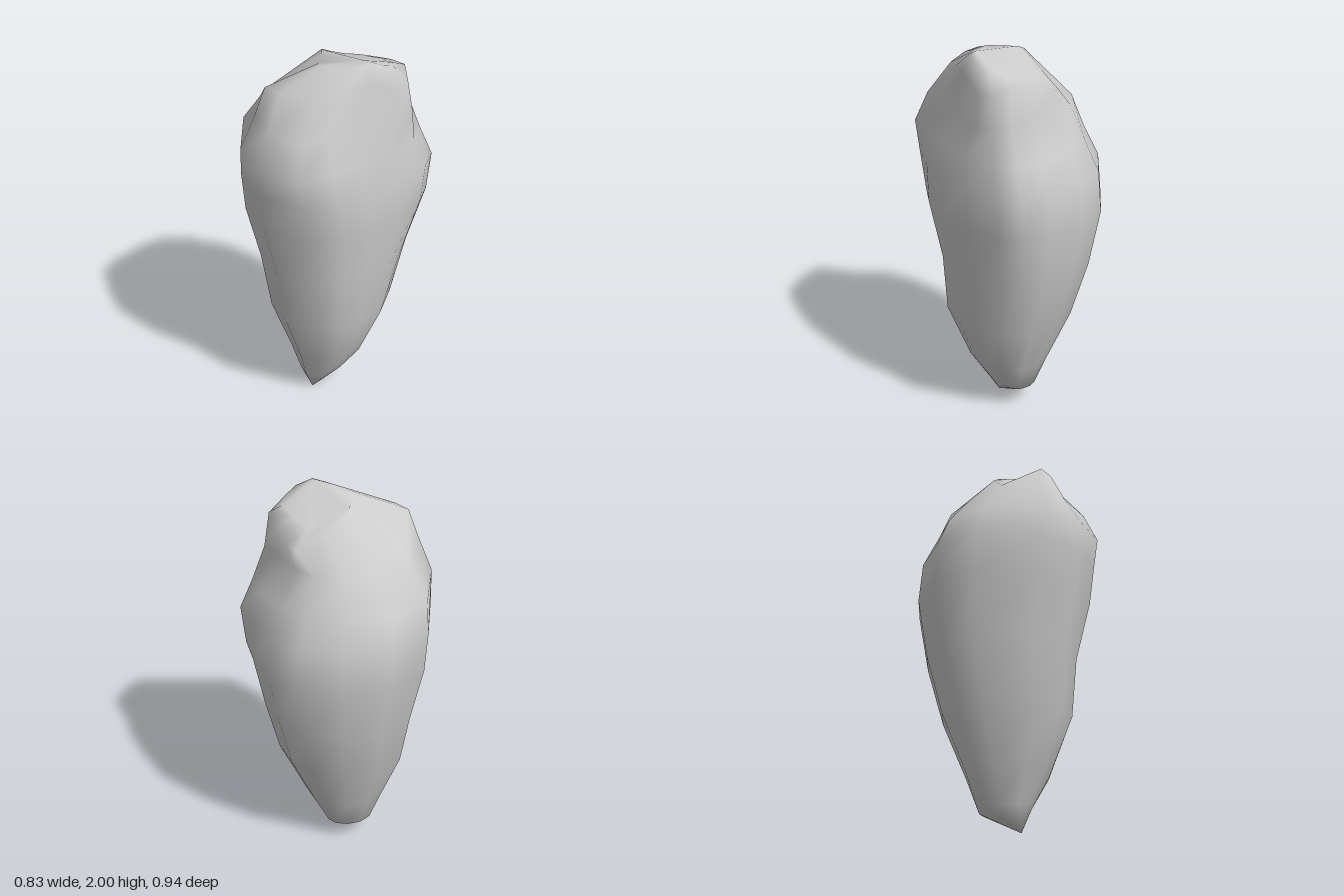
import * as THREE from 'three';

// Plan outline of the rock at its widest, [x, z], running from the front towards +x
const PLAN = [
  [0.07, 0.47], [0.30, 0.40], [0.37, 0.25], [0.41, 0.10], [0.415, -0.10], [0.405, -0.30], [0.345, -0.41],
  [0.20, -0.435], [0, -0.47], [-0.17, -0.42], [-0.33, -0.26], [-0.42, -0.04], [-0.39, 0.19], [-0.14, 0.41],
];

// Body levels: y, xMin, xMax, zMin, zMax, then the pull on the front left, back left and back right corners
const LEVELS = [
  [0.12, -0.10, 0.12, -0.12, 0.155, 0.90, 0.88, 1],
  [0.30, -0.17, 0.235, -0.20, 0.22, 0.90, 0.84, 1],
  [0.60, -0.29, 0.35, -0.33, 0.33, 0.91, 0.83, 1],
  [0.90, -0.36, 0.37, -0.41, 0.365, 0.93, 0.88, 1],
  [1.20, -0.415, 0.415, -0.465, 0.44, 0.95, 0.95, 1],
  [1.40, -0.42, 0.41, -0.46, 0.455, 0.99, 1, 0.96],
  [1.55, -0.37, 0.385, -0.41, 0.47, 1.03, 0.97, 0.92],
];
// Which pull each plan point takes: its column in LEVELS
const PULL = { 1: 5, 5: 6, 6: 6, 8: 7, 9: 7, 10: 7 };

// Uneven neck and crown rims and the edge of the sloping top, [x, y, z]
const NECK = [
  [0.06, 1.70, 0.39], [0.25, 1.70, 0.36], [0.28, 1.70, 0.23], [0.34, 1.71, 0.05], [0.365, 1.70, -0.13],
  [0.36, 1.70, -0.23], [0.29, 1.72, -0.28], [0.17, 1.73, -0.29], [0.03, 1.72, -0.28], [-0.10, 1.72, -0.26],
  [-0.20, 1.72, -0.17], [-0.22, 1.73, -0.03], [-0.24, 1.70, 0.18], [-0.07, 1.73, 0.36],
];
const CROWN = [
  [0.05, 1.87, 0.31], [0.20, 1.87, 0.24], [0.27, 1.90, 0.12], [0.33, 1.92, 0], [0.355, 1.85, -0.13],
  [0.34, 1.86, -0.21], [0.27, 1.90, -0.26], [0.15, 1.87, -0.295], [0.05, 1.84, -0.31], [0, 1.82, -0.29],
  [-0.02, 1.88, -0.15], [-0.03, 1.95, -0.02], [-0.19, 1.76, 0.18], [-0.04, 1.87, 0.32],
];
const TOP = [
  [0.11, 1.96, 0.11], [0.18, 1.965, 0.09], [0.24, 1.975, 0.05], [0.29, 1.99, 0], [0.31, 1.97, -0.08],
  [0.30, 1.94, -0.15], [0.25, 1.923, -0.20], [0.15, 1.905, -0.20], [0.08, 1.893, -0.20], [0.04, 1.887, -0.20],
  [0.02, 1.92, -0.10], [-0.01, 1.96, 0], [0.03, 1.96, 0.04], [0.08, 1.96, 0.10],
];

// Fit the plan outline into the box of one level
function bodyRing(level) {
  const [y, x0, x1, z0, z1] = level;
  return PLAN.map(([px, pz], i) => {
    const k = i in PULL ? level[PULL[i]] : 1;
    const u = (px * k + 0.42) / 0.835;
    const v = (pz * k + 0.47) / 0.94;
    return [x0 + u * (x1 - x0), y, z0 + v * (z1 - z0)];
  });
}

// Skin a stack of rings and close it with a bottom and a top point
function loft(rings, bottom, top) {
  const n = rings[0].length;
  const points = [...rings.flat(), bottom, top];
  const low = points.length - 2, high = points.length - 1;
  const last = (rings.length - 1) * n;
  const index = [];
  for (let i = 0; i < n; i++) {
    const j = (i + 1) % n;
    for (let r = 0; r < last; r += n) {
      index.push(r + i, r + j, r + n + j, r + i, r + n + j, r + n + i);
    }
    index.push(low, j, i, high, last + i, last + j);
  }
  const geometry = new THREE.BufferGeometry();
  geometry.setAttribute('position', new THREE.Float32BufferAttribute(points.flat(), 3));
  geometry.setIndex(index);
  geometry.computeVertexNormals();
  return geometry;
}

export function createModel() {
  const group = new THREE.Group();
  group.name = 'rock';
  const rings = [...LEVELS.map(bodyRing), NECK, CROWN, TOP];
  const boulder = new THREE.Mesh(
    loft(rings, [0.03, 0, 0.105], [0.26, 2, -0.01]),
    new THREE.MeshStandardMaterial({ color: 0xcccccc }),
  );
  boulder.name = 'boulder';
  group.add(boulder);
  return group;
}
